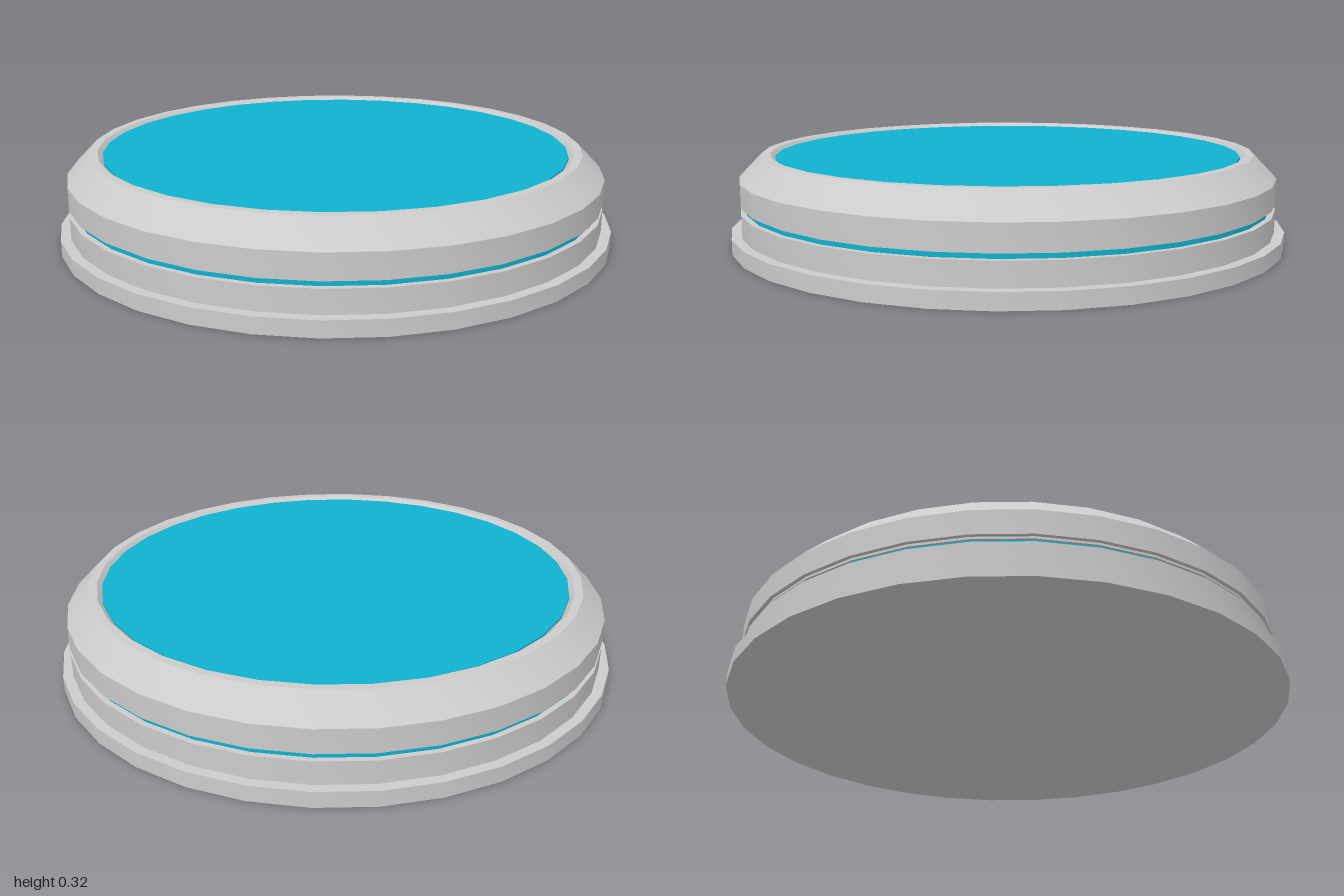
import * as THREE from 'three';
import { toCreasedNormals } from 'three/addons/utils/BufferGeometryUtils.js';

const SEGMENTS = 32;
const grey = new THREE.MeshStandardMaterial({ color: 0xcccccc });
const cyan = new THREE.MeshStandardMaterial({ color: 0x0fb2cf });

// Turn a [radius, height] profile, listed bottom to top along the outside
function turned(name, profile, material) {
  const points = profile.map(([r, y]) => new THREE.Vector2(r, y));
  const geometry = toCreasedNormals(new THREE.LatheGeometry(points, SEGMENTS), Math.PI / 7);
  const mesh = new THREE.Mesh(geometry, material);
  mesh.name = name;
  return mesh;
}

export function createModel() {
  const group = new THREE.Group();
  group.name = 'roundPad';

  // Base with a stepped foot flange
  group.add(turned('base', [
    [0, 0], [1, 0], [1, 0.055], [0.965, 0.055], [0.965, 0.135], [0, 0.135],
  ], grey));

  // Coloured band set in the groove, with a thin grey spacer above it
  group.add(turned('lightBand', [[0.945, 0.135], [0.945, 0.152]], cyan));
  group.add(turned('spacer', [
    [0.945, 0.152], [0.952, 0.152], [0.952, 0.16],
  ], grey));

  // Upper housing: straight side, wide bevel, flat rim and shallow recess
  group.add(turned('housing', [
    [0, 0.16], [0.965, 0.16], [0.965, 0.243], [0.885, 0.325],
    [0.855, 0.325], [0.842, 0.313], [0.835, 0.305],
  ], grey));

  // Coloured top disc, just below the rim
  group.add(turned('topDisc', [
    [0.838, 0.3], [0.838, 0.315], [0, 0.315],
  ], cyan));

  return group;
}
